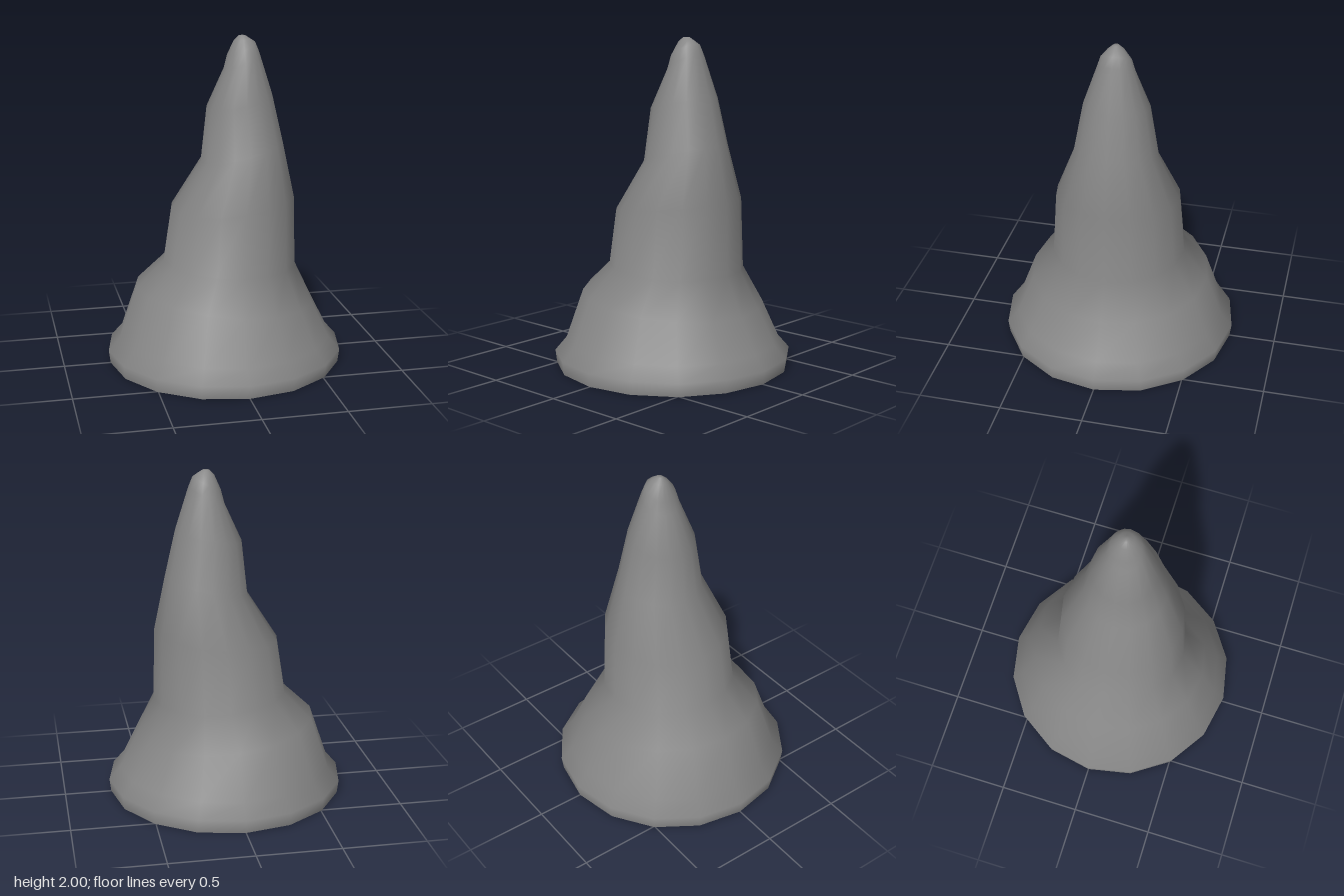
import * as THREE from 'three';

const SIDES = 16;

// Tilted rings from base to tip: left x, left y, right x, right y, half depth
const RINGS = [
  [-0.715, 0.00, 0.715, 0.00, 0.715],
  [-0.725, 0.08, 0.725, 0.08, 0.725],
  [-0.655, 0.16, 0.655, 0.16, 0.655],
  [-0.545, 0.48, 0.550, 0.37, 0.555],
  [-0.375, 0.64, 0.440, 0.60, 0.410],
  [-0.325, 0.96, 0.430, 1.04, 0.380],
  [-0.140, 1.25, 0.360, 1.37, 0.255],
  [-0.105, 1.57, 0.295, 1.65, 0.200],
  [0.000, 1.80, 0.215, 1.90, 0.113],
  [0.020, 1.88, 0.190, 1.96, 0.090],
  [0.060, 1.97, 0.160, 1.98, 0.047],
  [0.090, 2.00, 0.130, 2.00, 0.016],
];

// Skin over the rings, open at the base and closed at the tip
function loftGeometry(rings) {
  const positions = [];
  const indices = [];
  rings.forEach(([lx, ly, rx, ry, depth], i) => {
    for (let j = 0; j < SIDES; j++) {
      const a = (j / SIDES) * Math.PI * 2;
      const t = (1 + Math.cos(a)) / 2;
      positions.push(lx + (rx - lx) * t, ly + (ry - ly) * t, depth * Math.sin(a));
      if (i === 0) continue;
      const next = (j + 1) % SIDES;
      const low = (i - 1) * SIDES;
      const high = i * SIDES;
      indices.push(low + j, high + j, low + next);
      indices.push(low + next, high + j, high + next);
    }
  });

  const tip = rings.length * SIDES;
  const last = tip - SIDES;
  positions.push(0.11, 2, 0);
  for (let j = 0; j < SIDES; j++) indices.push(last + j, tip, last + ((j + 1) % SIDES));

  const geometry = new THREE.BufferGeometry();
  geometry.setAttribute('position', new THREE.Float32BufferAttribute(positions, 3));
  geometry.setIndex(indices);
  geometry.computeVertexNormals();
  return geometry;
}

export function createModel() {
  const model = new THREE.Group();
  model.name = 'slouchedHat';

  // Hollow slumped cone with a flared brim, in dark grey
  const material = new THREE.MeshStandardMaterial({ color: 0x878787, side: THREE.DoubleSide });
  const shell = new THREE.Mesh(loftGeometry(RINGS), material);
  shell.name = 'hatShell';
  model.add(shell);

  return model;
}
